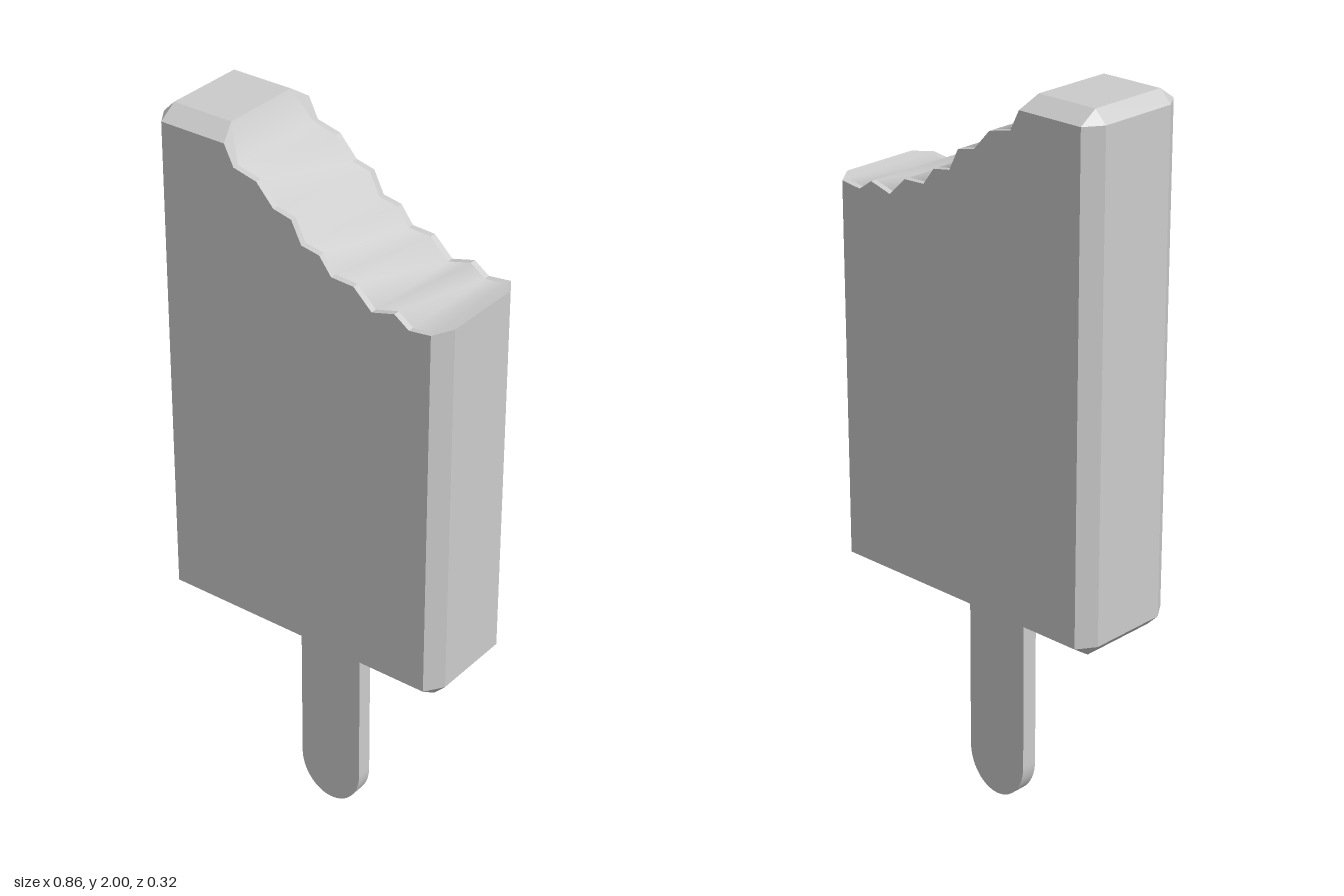
import * as THREE from 'three';

const BOTTOM = 0.6, TOP = 2, HALF_X = 0.43, HALF_Z = 0.162, BEVEL = 0.033, INNER_Z = 0.113, RIM_Z = 0.145;

// Bitten edge, from the top corner down to the right side
const bite = [
  [-0.178, 1.913], [-0.11, 1.897], [-0.06, 1.842], [-0.007, 1.83], [0.022, 1.772], [0.075, 1.763],
  [0.11, 1.717], [0.175, 1.714], [0.228, 1.664], [0.293, 1.682], [0.335, 1.653], [0.397, 1.661],
];

// One cross-section of the bar, running up the front and down the back:
// bottom, lower side, upper side, rim, then the same mirrored in z
function section(x, rimY, rimZ, sideX, sideY, end = false) {
  const z = end ? INNER_Z : HALF_Z;
  const half = [
    [x, end ? BOTTOM + BEVEL : BOTTOM, INNER_Z],
    [sideX, BOTTOM + BEVEL, z],
    [sideX, sideY, z],
    [x, rimY, rimZ],
  ];
  return [...half, ...half.slice().reverse().map(([a, b, c]) => [a, b, -c])]
    .map((p) => new THREE.Vector3(...p));
}

function geometryFrom(points, index) {
  const g = new THREE.BufferGeometry().setFromPoints(points);
  if (index) g.setIndex(index);
  g.computeVertexNormals();
  return g;
}

function createBar(material) {
  const inX = HALF_X - BEVEL;
  const sections = [
    section(-HALF_X, TOP - BEVEL, INNER_Z, -HALF_X, TOP - BEVEL, true),
    section(-inX, TOP, INNER_Z, -inX, TOP - BEVEL),
    section(-0.222, TOP, INNER_Z, -0.205, TOP - BEVEL),
    ...bite.map(([x, y]) => section(x, y, RIM_Z, x, y)),
    section(HALF_X, 1.667, INNER_Z, HALF_X, 1.667, true),
  ];
  const flat = [];
  const triangle = (a, b, c) => {
    if (new THREE.Triangle(a, b, c).getArea() > 1e-7) flat.push(a, b, c);
  };
  const quad = (a, b, c, d) => { triangle(a, b, c); triangle(a, c, d); };

  // Faceted shell, leaving out the middle of the bite
  for (let i = 0; i < sections.length - 1; i++) {
    const p = sections[i], q = sections[i + 1];
    for (let j = 0; j < 8; j++) {
      if (j === 3 && i >= 2) continue;
      const k = (j + 1) % 8;
      quad(p[j], q[j], q[k], p[k]);
    }
  }
  // Left and right end faces
  const l = sections[0], r = sections[sections.length - 1];
  quad(l[6], l[1], l[2], l[5]);
  quad(r[1], r[6], r[5], r[2]);

  const shell = new THREE.Mesh(geometryFrom(flat), material);
  shell.name = 'barShell';

  // Smooth middle of the bite
  const strip = [], index = [];
  sections.slice(2).forEach((s, i) => {
    strip.push(s[3], s[4]);
    if (i > 0) {
      const a = 2 * (i - 1);
      index.push(a, a + 2, a + 3, a, a + 3, a + 1);
    }
  });
  const middle = new THREE.Mesh(geometryFrom(strip, index), material);
  middle.name = 'biteSurface';

  const bar = new THREE.Group();
  bar.name = 'iceBar';
  bar.add(shell, middle);
  return bar;
}

// Flat stick with a rounded lower end
function createStick(material) {
  const w = 0.096, depth = 0.046, roundY = 0.115;
  const shape = new THREE.Shape();
  shape.moveTo(w, 0.62);
  shape.lineTo(-w, 0.62);
  shape.lineTo(-w, roundY);
  shape.absellipse(0, roundY, w, roundY, Math.PI, 2 * Math.PI, false);
  shape.closePath();
  const g = new THREE.ExtrudeGeometry(shape, { depth, bevelEnabled: false, curveSegments: 16 });
  g.translate(0, 0, -depth / 2);
  const stick = new THREE.Mesh(g, material);
  stick.name = 'stick';
  return stick;
}

export function createModel() {
  const material = new THREE.MeshStandardMaterial({ color: 0xcccccc });
  const model = new THREE.Group();
  model.name = 'icePop';
  model.add(createBar(material), createStick(material));
  return model;
}
